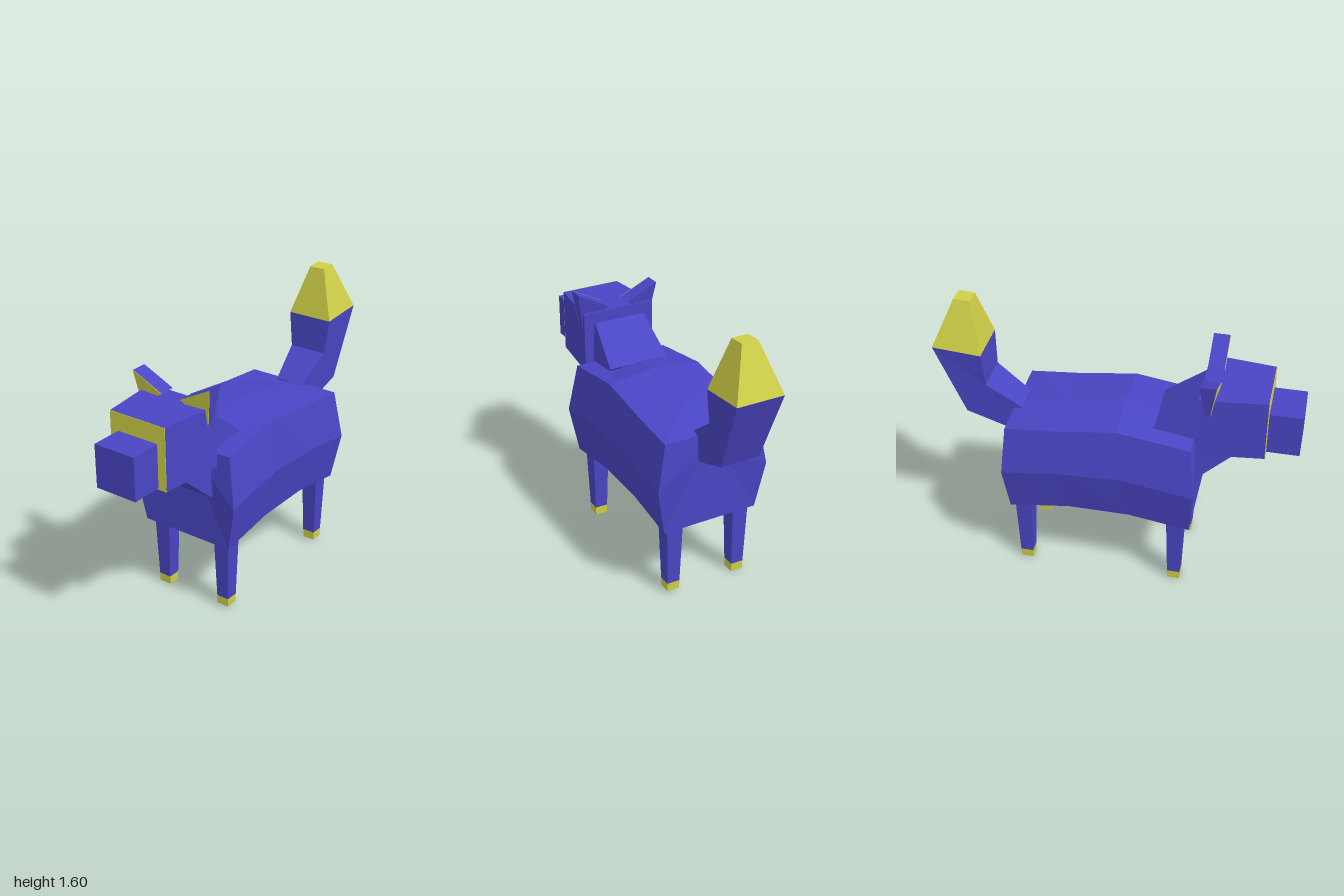
import * as THREE from 'three';

const blue = new THREE.MeshStandardMaterial({ color: 0x4a45c4, flatShading: true });
const yellow = new THREE.MeshStandardMaterial({ color: 0xcfcf48, flatShading: true });

// Closed solid through matching rings of [x, y, z] points, turned to face outward
function loft(rings) {
  const tris = [];
  const n = rings[0].length;
  for (let r = 0; r + 1 < rings.length; r++) {
    for (let i = 0; i < n; i++) {
      const j = (i + 1) % n;
      const a = rings[r][i], b = rings[r][j], c = rings[r + 1][j], d = rings[r + 1][i];
      tris.push([a, b, c], [a, c, d]);
    }
  }
  const first = rings[0], last = rings[rings.length - 1];
  for (let i = 1; i + 1 < n; i++) {
    tris.push([first[0], first[i + 1], first[i]], [last[0], last[i], last[i + 1]]);
  }
  const v = (p) => new THREE.Vector3(...p);
  let volume = 0;
  for (const [a, b, c] of tris) volume += v(a).dot(v(b).cross(v(c)));
  if (volume < 0) tris.forEach((t) => t.reverse());
  const geo = new THREE.BufferGeometry();
  geo.setAttribute('position', new THREE.Float32BufferAttribute(tris.flat(2), 3));
  geo.computeVertexNormals();
  return geo;
}

// Four-cornered ring spanning two points of the side profile, with half width w
const span = ([x1, y1], [x2, y2], w, w2 = w) =>
  [[x1, y1, w], [x1, y1, -w], [x2, y2, -w2], [x2, y2, w2]];

// Horizontal rectangle ring
const flat = (x, y, z, hx, hz) =>
  [[x - hx, y, z - hz], [x + hx, y, z - hz], [x + hx, y, z + hz], [x - hx, y, z + hz]];

export function createModel() {
  const group = new THREE.Group();
  const add = (name, rings, material = blue) => {
    const mesh = new THREE.Mesh(loft(rings), material);
    mesh.name = name;
    group.add(mesh);
  };

  // Body: ridge, shoulder, flank and belly points at each station
  const stations = [
    { ridge: [-0.44, 0.97], top: [-0.44, 0.97], mid: [-0.47, 0.69], low: [-0.45, 0.42] },
    { ridge: [-0.04, 1.06], top: [-0.04, 1.03], mid: [-0.08, 0.75], low: [-0.11, 0.47] },
    { ridge: [0.3, 1.015], top: [0.3, 0.985], mid: [0.26, 0.735], low: [0.23, 0.47] },
    { ridge: [0.575, 0.96], top: [0.575, 0.96], mid: [0.595, 0.69], low: [0.57, 0.42] },
  ];
  add('body', stations.map(({ ridge, top, mid, low }) => [
    [...ridge, 0], [...top, 0.28], [...mid, 0.33], [...low, 0.28],
    [...low, -0.28], [...mid, -0.33], [...top, -0.28],
  ]));

  // Neck, head and snout
  add('neck', [
    span([-0.45, 1.2], [-0.67, 0.9], 0.155),
    span([-0.22, 1.015], [-0.46, 0.71], 0.18),
  ]);
  add('head', [
    span([-0.82, 1.26], [-0.82, 0.905], 0.175),
    span([-0.46, 1.26], [-0.46, 0.905], 0.217),
  ]);
  add('face', [
    span([-0.823, 1.26], [-0.823, 0.905], 0.175),
    span([-0.82, 1.26], [-0.82, 0.905], 0.175),
  ], yellow);
  add('snout', [
    span([-1, 1.16], [-1, 0.915], 0.125),
    span([-0.82, 1.16], [-0.82, 0.915], 0.125),
  ]);

  // Ears: wedges leaning outward, with a coloured inner face
  for (const [side, s, tipY] of [['left', 1, 1.38], ['right', -1, 1.365]]) {
    const ring = (xTop, xLow) =>
      [[xTop, 1.28, s * 0.06], [xTop, tipY, s * 0.247], [xLow, 1.17, s * 0.215]];
    add(side + 'Ear', [ring(-0.555, -0.525), ring(-0.465, -0.495)]);
    add(side + 'EarInside', [ring(-0.558, -0.528), ring(-0.555, -0.525)], yellow);
  }

  // Legs with hooves
  for (const x of [-0.366, 0.502]) {
    for (const s of [1, -1]) {
      const base = s > 0 ? 0.01 : 0;
      const z = s * 0.204;
      add('leg', [
        flat(x, 0.5, z, 0.05, 0.05),
        flat(x, base + 0.05, z, 0.036, 0.037),
      ]);
      add('hoof', [
        flat(x, base + 0.05, z, 0.036, 0.037),
        flat(x, base, z, 0.035, 0.036),
      ], yellow);
    }
  }

  // Tail, bending upward, with a tapered tip
  const tailEnd = span([0.73, 1.31], [0.998, 1.33], 0.135);
  add('tail', [
    span([0.53, 0.97], [0.585, 0.81], 0.085),
    span([0.72, 1.11], [0.84, 0.92], 0.112),
    tailEnd,
  ]);
  add('tailTip', [tailEnd, span([0.795, 1.59], [0.885, 1.595], 0.046)], yellow);

  return group;
}
